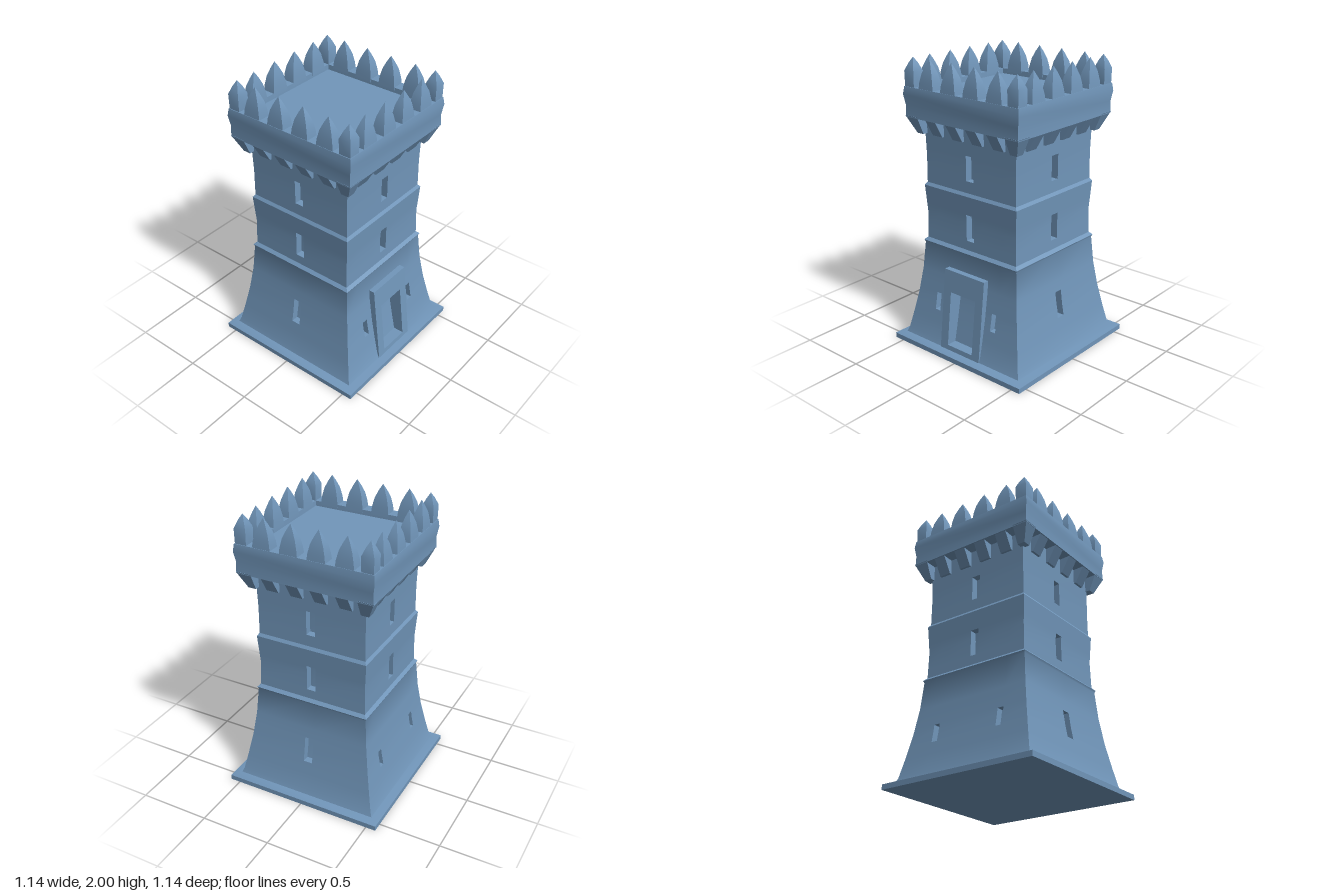
import * as THREE from 'three';
import { toCreasedNormals } from 'three/addons/utils/BufferGeometryUtils.js';

const stone = new THREE.MeshStandardMaterial({ color: 0x7196ba, side: THREE.DoubleSide });
stone.name = 'blue stone';

// Half-width of the tower body against height: [half-width, y]
const BODY = [[0.52, 0.03], [0.5, 0.08], [0.475, 0.2], [0.445, 0.36], [0.42, 0.54], [0.405, 0.73], [0.412, 0.745],
  [0.392, 0.765], [0.388, 0.95], [0.4, 1.14], [0.386, 1.16], [0.385, 1.35], [0.392, 1.62]];

function bodyRadius(y) {
  for (let i = 1; i < BODY.length; i++) {
    const [r0, y0] = BODY[i - 1], [r1, y1] = BODY[i];
    if (y <= y1) return r0 + (r1 - r0) * (y - y0) / (y1 - y0);
  }
  return BODY[BODY.length - 1][0];
}

function part(name, geometry, crease = 0.6) {
  const mesh = new THREE.Mesh(toCreasedNormals(geometry, crease), stone);
  mesh.name = name;
  return mesh;
}

// Square solid swept from a [half-width, y] profile
function squareLathe(profile) {
  const pts = profile.map(([r, y]) => new THREE.Vector2(r * Math.SQRT2, y));
  return new THREE.LatheGeometry(pts, 4, Math.PI / 4);
}

// One curved wall with recessed openings, each {u, w, y0, y1, d}
function wallGeometry(holes) {
  const sorted = (list) => [...new Set(list)].sort((a, b) => a - b);
  const ys = sorted([...BODY.map((p) => p[1]), ...holes.flatMap((h) => [h.y0, h.y1])]);
  const us = sorted(holes.flatMap((h) => [h.u - h.w, h.u + h.w]));
  const cols = [-1, ...us, 1];
  const pos = [];
  const at = (c, y, d = 0) => {
    const r = bodyRadius(y);
    return [c === 0 ? -r : c === cols.length - 1 ? r : cols[c], y, r - d];
  };
  const quad = (a, b, c, d) => pos.push(...a, ...b, ...c, ...a, ...c, ...d);
  for (let c = 0; c < cols.length - 1; c++) {
    for (let j = 0; j < ys.length - 1; j++) {
      const y0 = ys[j], y1 = ys[j + 1], ym = (y0 + y1) / 2;
      const um = (cols[c] + cols[c + 1]) / 2;
      const inner = c > 0 && c < cols.length - 2;
      const hole = inner && holes.find((h) => Math.abs(um - h.u) < h.w && ym > h.y0 && ym < h.y1);
      const d = hole ? hole.d : 0;
      quad(at(c, y0, d), at(c + 1, y0, d), at(c + 1, y1, d), at(c, y1, d));
      if (!hole) continue;
      // Reveals around the recess
      const left = Math.abs(cols[c] - (hole.u - hole.w)) < 1e-6;
      const right = Math.abs(cols[c + 1] - (hole.u + hole.w)) < 1e-6;
      if (left) quad(at(c, y0), at(c, y0, d), at(c, y1, d), at(c, y1));
      if (right) quad(at(c + 1, y0, d), at(c + 1, y0), at(c + 1, y1), at(c + 1, y1, d));
      if (y0 === hole.y0) quad(at(c, y0), at(c + 1, y0), at(c + 1, y0, d), at(c, y0, d));
      if (y1 === hole.y1) quad(at(c, y1, d), at(c + 1, y1, d), at(c + 1, y1), at(c, y1));
    }
  }
  const g = new THREE.BufferGeometry();
  g.setAttribute('position', new THREE.Float32BufferAttribute(pos, 3));
  return g;
}

// Rectangular surround that leans back with the wall, with a doorway cut through
function portalGeometry() {
  const s = new THREE.Shape();
  s.moveTo(-0.175, 0.04).lineTo(0.175, 0.04).lineTo(0.175, 0.61).lineTo(-0.175, 0.61).closePath();
  const h = new THREE.Path();
  h.moveTo(-0.11, 0.08).lineTo(-0.11, 0.46).lineTo(0.11, 0.46).lineTo(0.11, 0.08).closePath();
  s.holes.push(h);
  const g = new THREE.ExtrudeGeometry(s, { depth: 1, bevelEnabled: false });
  const p = g.attributes.position;
  for (let i = 0; i < p.count; i++) {
    p.setZ(i, p.getZ(i) > 0.5 ? 0.455 + (0.61 - p.getY(i)) * 0.11 : 0.38);
  }
  return g;
}

// Wedge-shaped bracket growing outward from the wall
function corbelGeometry(width) {
  const s = new THREE.Shape();
  s.moveTo(0.37, 1.5).lineTo(0.405, 1.5).lineTo(0.475, 1.62).lineTo(0.37, 1.62).closePath();
  const g = new THREE.ExtrudeGeometry(s, { depth: width, bevelEnabled: false });
  return g.translate(0, 0, -width / 2).rotateY(-Math.PI / 2);
}

// Corner bracket, flaring in both directions
function cornerCorbelGeometry() {
  const g = new THREE.BoxGeometry(1, 0.12, 1).translate(0, 1.56, 0);
  const p = g.attributes.position;
  for (let i = 0; i < p.count; i++) {
    const out = p.getY(i) > 1.56 ? 0.478 : 0.425;
    p.setX(i, p.getX(i) > 0 ? out : 0.37);
    p.setZ(i, p.getZ(i) > 0 ? out : 0.37);
  }
  return g;
}

export function createModel() {
  const tower = new THREE.Group();
  tower.name = 'tower';

  // Footing slab
  tower.add(part('footing', squareLathe([[0, 0], [0.57, 0], [0.57, 0.035], [0.5, 0.05], [0, 0.05]])));

  // Openings for each kind of wall
  const slit = (y0, y1) => ({ u: 0, w: 0.032, y0, y1, d: 0.05 });
  const upper = [slit(0.83, 1.01), slit(1.24, 1.41)];
  const sideSlits = [-0.25, 0.25].map((u) => ({ u, w: 0.022, y0: 0.28, y1: 0.4, d: 0.045 }));
  const plainWall = [slit(0.285, 0.465), ...upper];
  const sideWall = [...sideSlits, ...upper];
  const doorWall = [...sideWall, { u: 0, w: 0.11, y0: 0.08, y1: 0.46, d: 0.06 }];
  const walls = [['frontWall', plainWall], ['doorWall', doorWall], ['backWall', plainWall], ['sideWall', sideWall]];

  walls.forEach(([name, holes], i) => {
    const side = new THREE.Group();
    side.name = name + 'Group';
    side.rotation.y = i * Math.PI / 2;
    side.add(part(name, wallGeometry(holes)));
    if (name === 'doorWall') side.add(part('doorSurround', portalGeometry()));

    // Brackets under the parapet
    for (const u of [-0.26, -0.085, 0.085, 0.26]) {
      const corbel = part('corbel', corbelGeometry(0.085));
      corbel.position.x = u;
      side.add(corbel);
    }
    side.add(part('cornerCorbel', cornerCorbelGeometry()));

    // Pointed merlons, with one corner merlon per side
    for (const u of [-0.285, -0.095, 0.095, 0.285]) {
      const g = squareLathe([[0.065, 1.79], [0.058, 1.85], [0.044, 1.91], [0.022, 1.96], [0, 2]]);
      const merlon = part('merlon', g.scale(1, 1, 0.68), 0.5);
      merlon.position.set(u, 0, 0.433);
      side.add(merlon);
    }
    const corner = part('cornerMerlon', squareLathe([[0.04, 1.79], [0.042, 1.91], [0.022, 1.96], [0, 2]]), 0.5);
    corner.position.set(0.433, 0, 0.433);
    side.add(corner);
    tower.add(side);
  });

  // Parapet with its ledge and roof deck
  tower.add(part('parapet', squareLathe([[0.38, 1.605], [0.476, 1.61], [0.474, 1.69], [0.485, 1.76],
    [0.478, 1.81], [0.392, 1.81], [0.39, 1.775], [0, 1.775]])));
  return tower;
}
